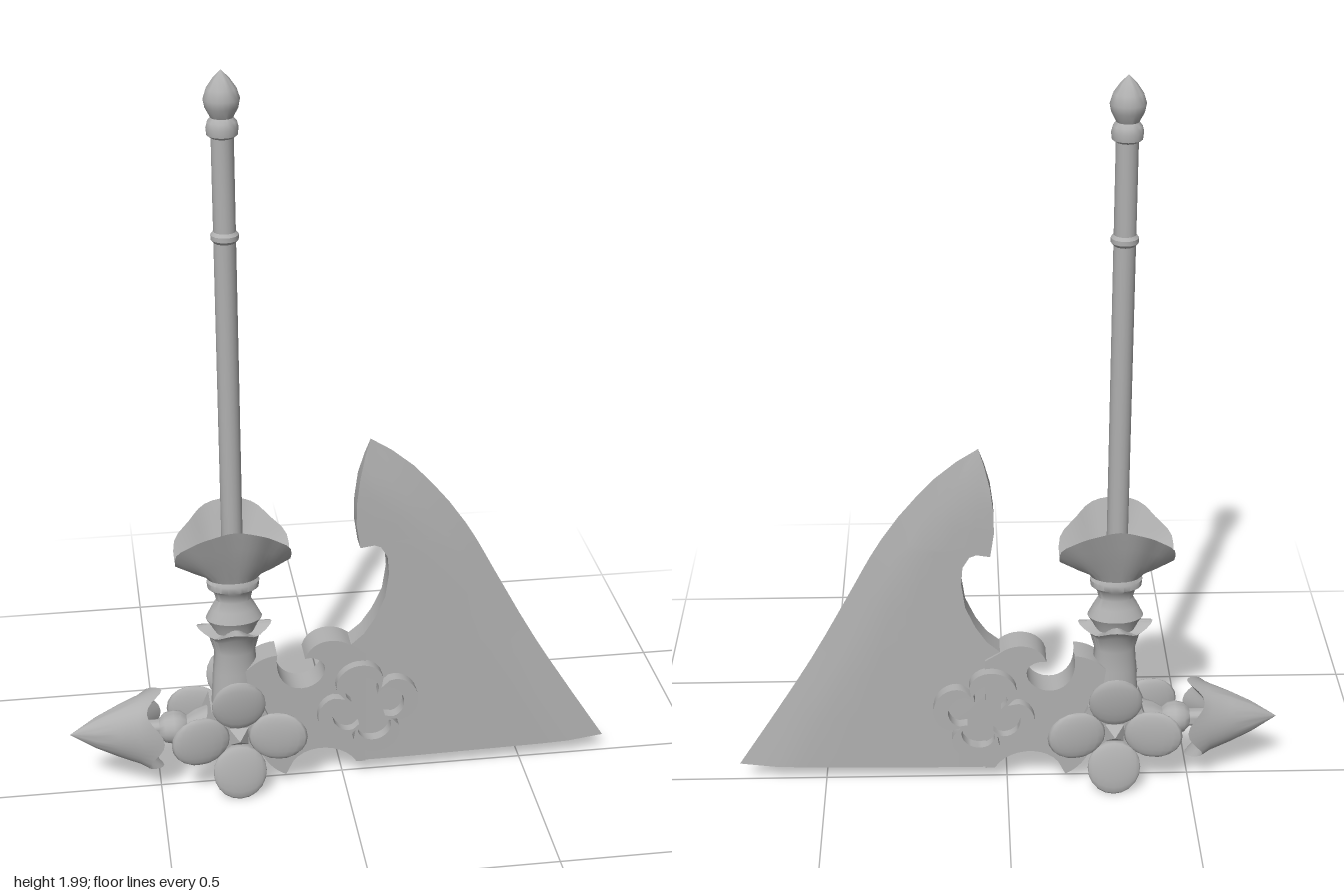
import * as THREE from 'three';
import { toCreasedNormals } from 'three/addons/utils/BufferGeometryUtils.js';

const metal = new THREE.MeshStandardMaterial({ color: 0xb0b0b0, side: THREE.DoubleSide });
metal.name = 'grey metal';
const AXIS = -0.29, HUB_Y = 0.19;
const v2 = (p) => p.map(([x, y]) => new THREE.Vector2(x, y));

export function createModel() {
  const root = new THREE.Group();
  root.name = 'axe';

  const add = (name, geo, x = 0, y = 0, z = 0, parent = root) => {
    const m = new THREE.Mesh(geo, metal);
    m.name = name;
    m.position.set(x, y, z);
    parent.add(m);
    return m;
  };
  // Turned part whose vertices may be moved by rule(point, angle)
  const turned = (points, sides, rule, crease = 0.7) => {
    const g = new THREE.LatheGeometry(v2(points), sides);
    if (rule) {
      const p = g.attributes.position, v = new THREE.Vector3();
      for (let i = 0; i < p.count; i++) {
        v.fromBufferAttribute(p, i);
        rule(v, Math.atan2(v.x, v.z));
        p.setXYZ(i, v.x, v.y, v.z);
      }
    }
    return toCreasedNormals(g, crease);
  };
  const slab = (shape, depth) => {
    const g = new THREE.ExtrudeGeometry(shape, { depth, bevelEnabled: false, curveSegments: 10 });
    g.translate(0, 0, -depth / 2);
    return toCreasedNormals(g, 0.6);
  };

  // Shaft with ring and finial
  add('shaft', turned([[0.028, 0.62], [0.028, 1.57], [0.035, 1.578], [0.035, 1.59],
    [0.028, 1.598], [0.028, 1.84]], 16), AXIS);
  add('finial', turned([[0.028, 1.835], [0.038, 1.842], [0.04, 1.86], [0.036, 1.875], [0.028, 1.885],
    [0.041, 1.91], [0.045, 1.93], [0.037, 1.955], [0.02, 1.98], [0, 2]], 20), AXIS);

  // Scalloped flower cup around the base of the shaft
  add('petalCup', turned([[0.055, 0.63], [0.07, 0.66], [0.098, 0.71], [0.125, 0.765], [0.152, 0.82]], 48, (v, a) => {
    const w = Math.max(0, (v.y - 0.64) / 0.18), s = Math.sin(a) ** 2;
    const k = 1 - 0.07 * w * (1 + Math.cos(8 * a)) / 2;
    v.x *= k * 1.06;
    v.z *= k * 0.73;
    v.y -= w * (0.09 * s + 0.05 * s ** 10);
  }), AXIS);

  // Neck and socket
  add('neck', turned([[0.055, 0.48], [0.062, 0.5], [0.075, 0.52], [0.06, 0.55], [0.046, 0.575], [0.052, 0.6],
    [0.068, 0.612], [0.07, 0.63], [0.058, 0.645], [0.028, 0.645]], 24, (v) => { v.z *= 0.7; }), AXIS);
  add('socket', turned([[0.07, 0.2], [0.06, 0.36], [0.055, 0.42], [0.065, 0.465], [0.09, 0.488], [0.05, 0.49]],
    32, (v, a) => {
      const w = Math.max(0, (v.y - 0.43) / 0.06);
      const k = 1 + 0.12 * w * Math.cos(4 * a);
      v.x *= k;
      v.z *= k * 0.72;
      v.y += 0.012 * w * Math.cos(4 * a);
    }), AXIS);

  // Hub and its flowers on both faces
  const hub = add('hub', new THREE.CylinderGeometry(0.1, 0.1, 0.11, 8), AXIS, HUB_Y);
  hub.geometry = toCreasedNormals(hub.geometry, 0.4);
  hub.rotation.x = Math.PI / 2;
  for (const side of [1, -1]) {
    const flower = new THREE.Group();
    flower.name = side > 0 ? 'frontFlower' : 'backFlower';
    flower.position.set(AXIS, HUB_Y, 0);
    if (side < 0) flower.rotation.y = Math.PI;
    for (let i = 0; i < 4; i++) {
      const arm = new THREE.Group();
      arm.name = 'petalArm';
      arm.rotation.z = i * Math.PI / 2;
      flower.add(arm);
      const petal = add('petal', new THREE.SphereGeometry(1, 16, 10), 0.104, 0, 0.085, arm);
      petal.scale.set(0.08, 0.072, 0.016);
      petal.rotation.y = -0.16;
    }
    const boss = add('flowerCentre', new THREE.ConeGeometry(0.036, 0.03, 4), 0, 0, 0.088, flower);
    boss.geometry = toCreasedNormals(boss.geometry, 0.3);
    boss.rotation.set(Math.PI / 2, Math.PI / 4, 0);
    root.add(flower);
  }

  // Rear spike with barbed rim
  const spike = add('spike', turned([[0.02, 0.06], [0.07, 0.035], [0.118, 0], [0.1, 0.05], [0.075, 0.11],
    [0.045, 0.17], [0, 0.24]], 40, (v, a) => {
    const w = Math.max(0, 1 - v.y / 0.06);
    v.y += w * 0.022 * (1 - Math.cos(4 * a)) - w * 0.01;
    v.z *= 0.72;
  }), -0.5, HUB_Y);
  spike.rotation.z = Math.PI / 2;
  const spikeNeck = add('spikeNeck', turned([[0.06, -0.12], [0.045, -0.07], [0.03, -0.045], [0.042, -0.03],
    [0.046, -0.01], [0.04, 0.015], [0.024, 0.03], [0.024, 0.08]], 18), -0.47, HUB_Y);
  spikeNeck.rotation.z = Math.PI / 2;

  // Scrolled plate joining hub and blade
  const s = new THREE.Shape();
  s.moveTo(-0.29, 0.34);
  s.quadraticCurveTo(-0.24, 0.41, -0.18, 0.412);
  s.bezierCurveTo(-0.19, 0.35, -0.16, 0.305, -0.115, 0.305);
  s.bezierCurveTo(-0.06, 0.305, -0.03, 0.37, -0.07, 0.39);
  s.quadraticCurveTo(-0.09, 0.4, -0.105, 0.395);
  s.bezierCurveTo(-0.09, 0.45, -0.02, 0.46, 0.02, 0.425);
  s.lineTo(0.06, 0.4);
  s.lineTo(0.06, 0.058);
  s.lineTo(0.035, 0.058);
  s.bezierCurveTo(0, 0.12, -0.1, 0.13, -0.14, 0.075);
  s.lineTo(-0.16, 0.035);
  s.quadraticCurveTo(-0.21, 0.06, -0.23, 0.12);
  s.lineTo(-0.29, 0.12);
  add('bladeMount', slab(s, 0.078));

  // Blade: stations pairing a point on the back with one on the cutting edge
  const stations = [
    [0.075, 1.015, 0.078, 1.013], [0.06, 0.97, 0.13, 0.98], [0.045, 0.91, 0.19, 0.93],
    [0.036, 0.84, 0.24, 0.875], [0.035, 0.78, 0.285, 0.82], [0.045, 0.712, 0.33, 0.755],
    [0.075, 0.72, 0.345, 0.73], [0.1, 0.71, 0.36, 0.705], [0.118, 0.68, 0.38, 0.668],
    [0.122, 0.63, 0.405, 0.62], [0.112, 0.56, 0.445, 0.545], [0.085, 0.5, 0.485, 0.47],
    [0.055, 0.455, 0.53, 0.39], [0.02, 0.425, 0.575, 0.315], [0.02, 0.25, 0.65, 0.195],
    [0.035, 0.058, 0.738, 0.057]];
  const edge = stations.map((q) => new THREE.Vector3(q[2], q[3], 0));
  const edgeDistance = (p) => {
    const hit = new THREE.Vector3();
    let d = 9;
    for (let i = 1; i < edge.length; i++) {
      new THREE.Line3(edge[i - 1], edge[i]).closestPointToPoint(p, true, hit);
      d = Math.min(d, hit.distanceTo(p));
    }
    return d;
  };
  const cuts = [0, 0.2, 0.4, 0.6, 0.75, 0.85, 0.93, 1];
  const rows = stations.map(([ax, ay, bx, by]) => cuts.map((u) => {
    const p = new THREE.Vector3(ax + (bx - ax) * u, ay + (by - ay) * u, 0);
    const d = edgeDistance(p);
    p.z = d < 0.1 ? d * 0.22 : Math.min(0.034, 0.022 + (d - 0.1) * 0.03);
    return p;
  }));
  const tri = [];
  const back = (p) => new THREE.Vector3(p.x, p.y, -p.z);
  const quad = (a, b, c, d) => [a, b, c, a, c, d].forEach((p) => tri.push(p.x, p.y, p.z));
  const last = rows.length - 1;
  for (let i = 0; i < last; i++) {
    for (let j = 0; j < cuts.length - 1; j++) {
      const a = rows[i][j], b = rows[i + 1][j], c = rows[i + 1][j + 1], d = rows[i][j + 1];
      quad(a, b, c, d);
      quad(back(d), back(c), back(b), back(a));
    }
    const a = rows[i][0], b = rows[i + 1][0];
    quad(back(a), back(b), b, a);
  }
  for (let j = 0; j < cuts.length - 1; j++) {
    const a = rows[last][j], b = rows[last][j + 1];
    quad(a, back(a), back(b), b);
  }
  const blade = new THREE.BufferGeometry();
  blade.setAttribute('position', new THREE.Float32BufferAttribute(tri, 3));
  blade.computeVertexNormals();
  add('blade', toCreasedNormals(blade, 0.5));

  // Raised four-lobed frames on both faces
  const lobes = (size) => {
    const pts = [];
    for (let i = 0; i < 64; i++) {
      const t = i / 64 * Math.PI * 2;
      const r = size * (0.52 + 0.48 * Math.sqrt(Math.abs(Math.cos(2 * t))));
      pts.push(new THREE.Vector2(r * Math.cos(t), r * Math.sin(t)));
    }
    return pts;
  };
  const frame = new THREE.Shape(lobes(0.14));
  frame.holes.push(new THREE.Path(lobes(0.1)));
  const frameGeo = slab(frame, 0.032);
  for (const z of [0.049, -0.049]) {
    add(z > 0 ? 'frontFrame' : 'backFrame', frameGeo, 0.063, 0.24, z).rotation.z = 0.28;
  }
  return root;
}
